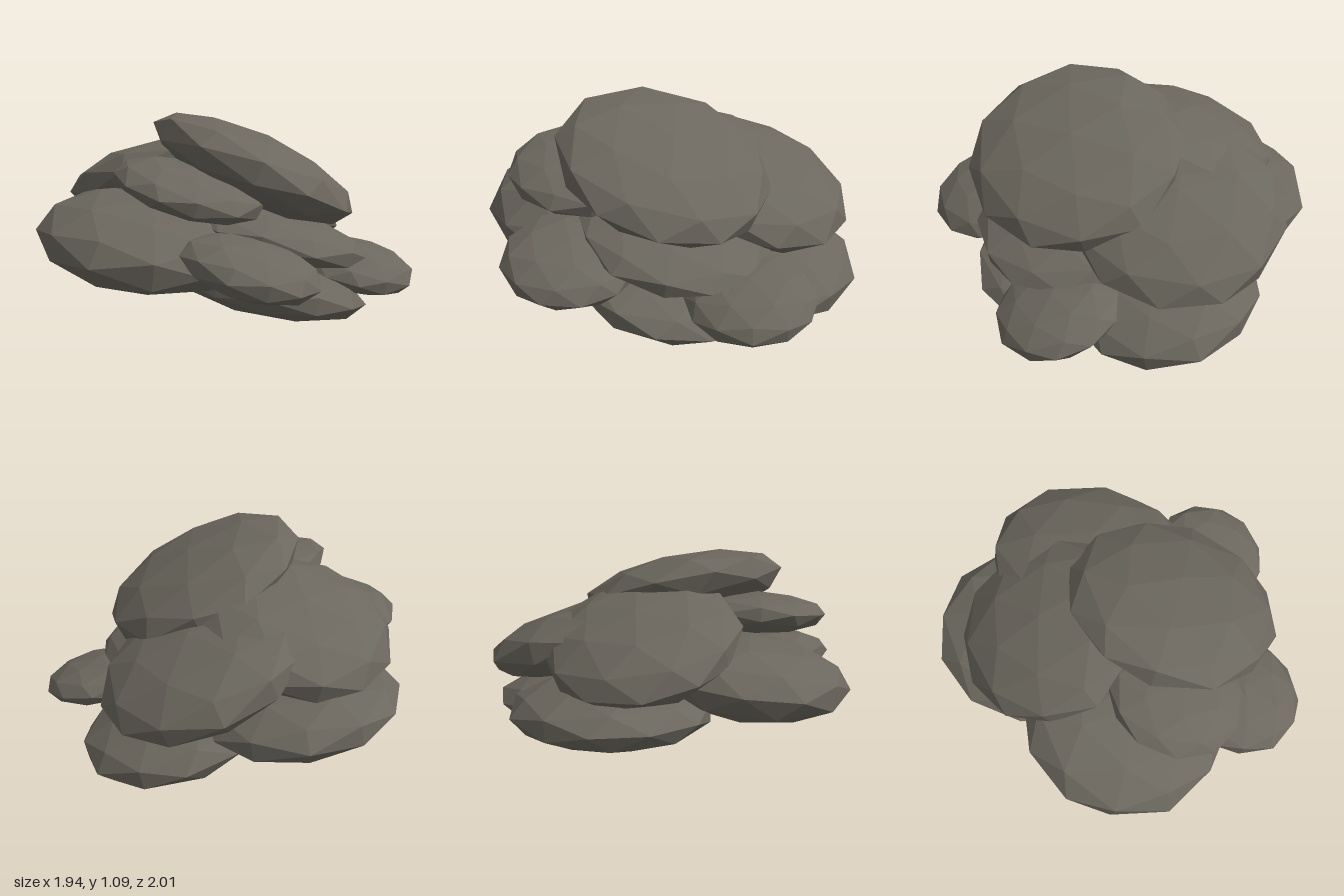
import * as THREE from 'three';

// Pile of flattened, tilted low-poly stones.
export function createModel() {
  const model = new THREE.Group();
  model.name = 'stonePile';
  const rock = new THREE.MeshStandardMaterial({ color: 0x6b675e });
  rock.name = 'rockGrey';
  rock.flatShading = true;

  // name, centre [x, y, z], radius, half thickness, slope along x, slope along z, spin
  const stones = [
    ['topStone', [0.3, 0.79, -0.02], 0.57, 0.185, -0.3, 0.35, 0.17],
    ['backUpperStone', [-0.08, 0.575, -0.42], 0.565, 0.19, -0.17, 0.36, 0.95],
    ['rightUpperStone', [-0.34, 0.7, 0.02], 0.515, 0.19, 0.32, 0.04, 0.4],
    ['frontUpperStone', [0.265, 0.72, 0.425], 0.38, 0.115, -0.27, 0.08, 1.4],
    ['frontStone', [0.0, 0.455, 0.46], 0.56, 0.215, -0.2, -0.05, 0.3],
    ['rightStone', [-0.455, 0.355, -0.1], 0.535, 0.175, -0.13, 0.06, 0.8],
    ['leftMiddleStone', [0.38, 0.45, -0.085], 0.5, 0.125, -0.18, 0.17, 1.1],
    ['leftFrontStone', [0.63, 0.38, 0.4], 0.35, 0.125, -0.25, 0.08, 0.4],
    ['leftBackStone', [0.62, 0.245, -0.5], 0.33, 0.115, -0.24, 0.0, 1.7],
    ['leftBaseStone', [0.395, 0.16, -0.06], 0.5, 0.14, -0.06, 0.18, 0.6],
    ['backBaseStone', [0.04, 0.175, -0.51], 0.51, 0.165, -0.18, 0.12, -0.1],
  ];

  const up = new THREE.Vector3(0, 1, 0);
  for (const [name, centre, radius, half, slopeX, slopeZ, spin] of stones) {
    const geometry = new THREE.IcosahedronGeometry(1, 1);
    geometry.rotateY(spin);
    geometry.scale(radius, half, radius);
    const stone = new THREE.Mesh(geometry, rock);
    stone.name = name;
    stone.position.set(...centre);
    // Tilt so the flat side follows the given slopes
    const normal = new THREE.Vector3(-slopeX, 1, -slopeZ).normalize();
    stone.quaternion.setFromUnitVectors(up, normal);
    model.add(stone);
  }

  // Rest the pile on the ground
  const bounds = new THREE.Box3().setFromObject(model, true);
  for (const stone of model.children) stone.position.y -= bounds.min.y;
  return model;
}
